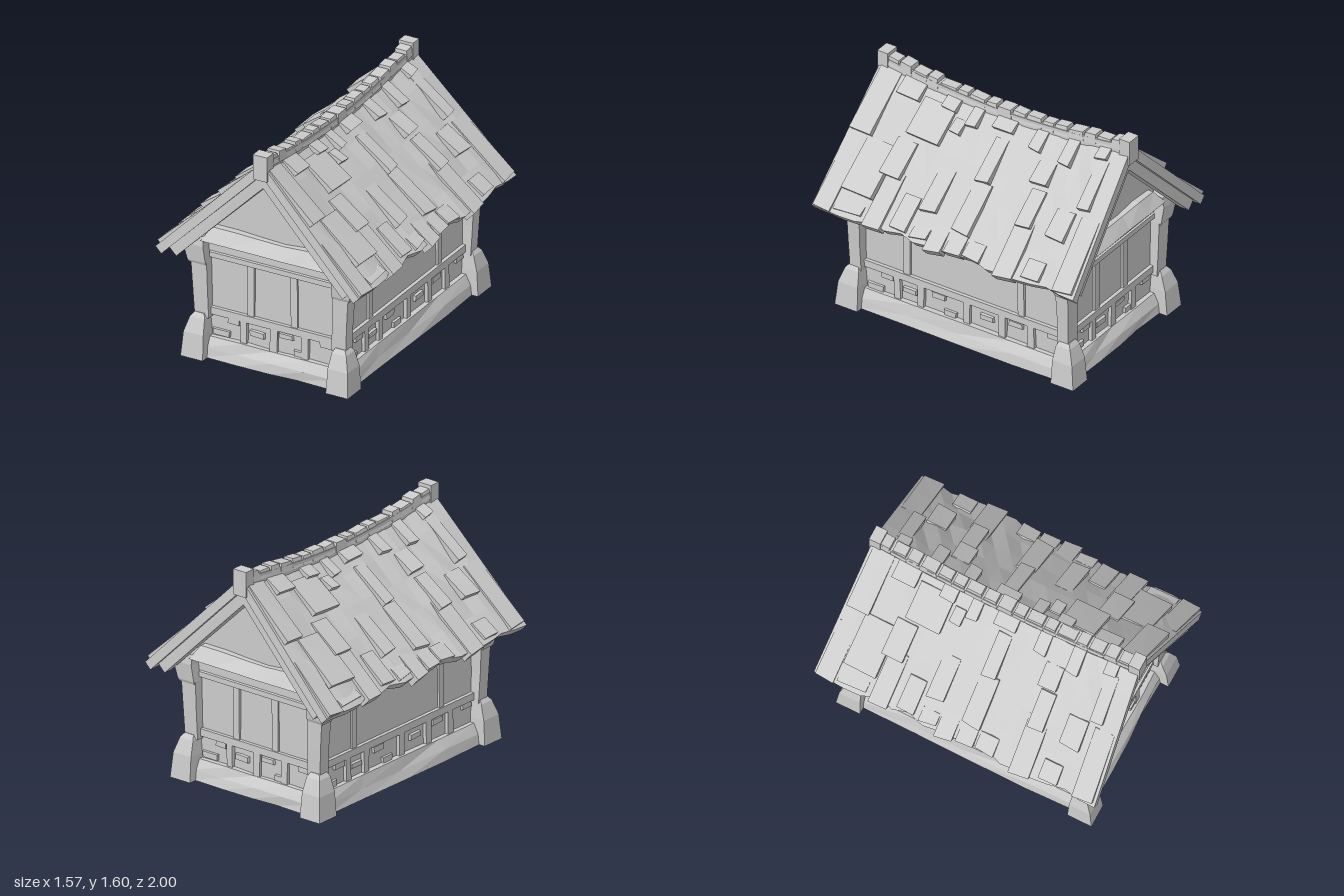
import * as THREE from 'three';

const mat = new THREE.MeshStandardMaterial({ color: 0xcccccc, flatShading: true });

// Repeatable noise in -1..1 that depends only on position
const noise = (a, b, c = 0) => {
  const s = Math.sin(a * 127.1 + b * 311.7 + c * 74.7) * 43758.5453;
  return (s - Math.floor(s)) * 2 - 1;
};

// Moves each vertex of a geometry by a rule
function warp(geo, rule) {
  const p = geo.attributes.position;
  for (let i = 0; i < p.count; i++) p.setXYZ(i, ...rule(p.getX(i), p.getY(i), p.getZ(i)));
  geo.computeVertexNormals();
  return geo;
}

function add(parent, name, geo) {
  const mesh = new THREE.Mesh(geo, mat);
  mesh.name = name;
  parent.add(mesh);
  return mesh;
}

// Box given by its limits, slightly irregular, with an optionally narrowed front face
function block(parent, name, x0, x1, y0, y1, z0, z1, rough = 0, inset = 0) {
  return add(parent, name, warp(new THREE.BoxGeometry(1, 1, 1), (x, y, z) => {
    const cut = z > 0 ? inset : 0;
    return [x0 + (x + 0.5) * (x1 - x0) + rough * noise(x0 + x, y, z) - 2 * x * cut,
      y0 + (y + 0.5) * (y1 - y0) + rough * noise(x0 + y, z, x) - 2 * y * cut,
      z0 + (z + 0.5) * (z1 - z0)];
  }));
}

// Column from rows of [y, xIn, xOut, zIn, zOut]; side = -1 mirrors it
function column(parent, name, rows, side) {
  const n = rows.length - 1;
  return add(parent, name, warp(new THREE.BoxGeometry(1, 1, 1, 1, n, 1), (x, y, z) => {
    const r = rows[Math.round((y + 0.5) * n)];
    const outer = x * side > 0;
    return [side * (outer ? r[2] : r[1]), r[0], z > 0 ? r[4] : r[3]];
  }));
}

// Point on the sagging roof: u from ridge to eave, n height above the surface.
// Near the ridge the offset turns vertical so both sides meet in a mitre.
const EAVE = 0.78;
const ridgeY = z => 1.455 + 0.075 * z * z;
function roofPoint(u, n, z) {
  const y = ridgeY(z), lean = 0.7 * Math.min(1, u * 8);
  return [0.74 * u + n * lean, y + (EAVE - y) * u + n * (1.42 - lean), z * (0.95 + 0.05 * u)];
}

// Slab lying on the roof; its thickness may change from upper to lower end
function roofSlab(parent, name, u0, u1, z0, z1, bottom, topUpper, topLower, skew = 0, segs = 1) {
  return add(parent, name, warp(new THREE.BoxGeometry(1, 1, 1, segs, 1, 1), (x, y, z) => {
    const t = x + 0.5;
    const top = topUpper + (topLower - topUpper) * t;
    return roofPoint(u0 + t * (u1 - u0) + (z > 0 ? skew : -skew) * t,
      y > 0 ? top : bottom, z0 + (z + 0.5) * (z1 - z0));
  }));
}

function roofSide() {
  const roof = new THREE.Group();
  roof.name = 'roofSide';

  // Uneven roof sheet
  add(roof, 'roofSheet', warp(new THREE.BoxGeometry(1, 1, 1, 5, 1, 18), (x, y, z) => {
    const u = x + 0.5, edge = Math.abs(z) > 0.49;
    const r = edge || u < 0.01 ? 0 : noise(Math.round(u * 5), Math.round(z * 18));
    const reach = u > 0.99 && !edge ? 0.02 * r - 0.01 : 0;
    return roofPoint(u + reach, y > 0 ? 0.006 + 0.014 * r : -0.055, z * 2);
  }));

  // Shingles: [z centre, upper y, lower y, width]
  const shingles = [
    [0.7, 1.5, 1.38, 0.17], [0.39, 1.45, 1.38, 0.11], [0.19, 1.44, 1.34, 0.08], [-0.04, 1.44, 1.37, 0.16],
    [-0.32, 1.44, 1.34, 0.09], [-0.57, 1.46, 1.33, 0.09], [-0.82, 1.51, 1.42, 0.09], [0.28, 1.36, 1.29, 0.08],
    [0.47, 1.4, 1.22, 0.25], [0.9, 1.48, 1.17, 0.16], [0.57, 1.2, 1.02, 0.15], [0.73, 1.16, 0.9, 0.23],
    [0.21, 1.14, 0.93, 0.12], [-0.06, 1.34, 1.13, 0.1], [-0.07, 1.13, 0.89, 0.13], [-0.45, 1.32, 1.21, 0.13],
    [-0.47, 1.19, 1.01, 0.11], [-0.72, 1.15, 1.01, 0.14], [-0.84, 1.42, 1.18, 0.09],
  ];
  shingles.forEach(([z, yTop, yLow, w], i) => {
    const u = y => Math.max(0.03, (ridgeY(z) + 0.005 - y) / (ridgeY(z) - EAVE));
    roofSlab(roof, 'shingle', u(yTop), u(yLow), z - w / 2, z + w / 2, -0.02, 0.014, 0.048, 0.008 * noise(i, 3));
  });

  // Long eave boards: [z centre, upper u, lower u, width]
  const boards = [
    [0.92, 0.6, 1.0, 0.13], [0.74, 0.9, 0.97, 0.2], [0.54, 0.62, 1.01, 0.13], [0.36, 0.72, 0.96, 0.12],
    [0.2, 0.88, 0.97, 0.12], [0.07, 0.8, 1.02, 0.12], [-0.07, 0.85, 0.99, 0.12], [-0.21, 0.86, 0.98, 0.13],
    [-0.47, 0.6, 1.02, 0.14], [-0.66, 0.84, 0.97, 0.13], [-0.91, 0.5, 0.98, 0.14],
  ];
  boards.forEach(([z, u0, u1, w], i) =>
    roofSlab(roof, 'eaveBoard', u0, u1, z - w / 2, z + w / 2, -0.055, 0.01, 0.03, 0.01 * noise(i, 7), 2));

  // Rake boards under both roof ends
  for (const s of [-1, 1])
    roofSlab(roof, 'rakeBoard', 0, 0.94, s * 0.94 - 0.035, s * 0.94 + 0.035, -0.125, -0.05, -0.05);
  return roof;
}

// Timber framing, studs and loose stones on one wall that faces +z
function wallFace(name, half, dist, uprights, lowStuds, stones) {
  const wall = new THREE.Group();
  wall.name = name;
  const back = dist - 0.02;
  block(wall, 'sillBeam', -half, half, 0.29, 0.34, back, dist + 0.025);
  block(wall, 'headBeam', -half, half, 0.685, 0.745, back, dist + 0.03, 0, 0.012);
  block(wall, 'topBeam', -half, half, 0.74, 0.82, back, dist + 0.02);
  uprights.forEach(x => block(wall, 'stud', x - 0.024, x + 0.024, 0.33, 0.7, back, dist + 0.015, 0.003));
  lowStuds.forEach(x => block(wall, 'lowStud', x - 0.024, x + 0.024, 0.12, 0.3, back, dist + 0.024, 0.006));
  stones.forEach(([x, y, w]) =>
    block(wall, 'wallStone', x - w / 2, x + w / 2, y - 0.024, y + 0.024, back, dist + 0.018, 0.004, 0.006));
  // Rough plinth stone with a sloping top
  add(wall, 'plinth', warp(new THREE.BoxGeometry(1, 1, 1, 4, 2, 1), (x, y, z) => {
    const r = Math.abs(x) < 0.49 ? noise(Math.round(x * 4), Math.round(y * 2), half) : 0;
    const out = [0.075, 0.065, 0.03][Math.round((y + 0.5) * 2)];
    return [x * 2 * half + 0.03 * r, y < -0.4 ? 0 : (y + 0.5) * 0.135 + 0.008 * r,
      z > 0 ? dist + out + 0.01 * r : dist - 0.1];
  }));
  return wall;
}

// Everything that occurs twice, half a turn apart
function halfHouse() {
  const half = new THREE.Group();
  half.name = 'houseHalf';
  half.add(roofSide());
  const end = wallFace('endWall', 0.47, 0.78, [-0.165, 0.15], [-0.215, 0.005, 0.235],
    [[-0.29, 0.27, 0.09], [-0.12, 0.22, 0.11], [0.09, 0.26, 0.11], [0.39, 0.27, 0.11], [-0.38, 0.17, 0.13], [0.19, 0.16, 0.09]]);
  const flank = wallFace('sideWall', 0.77, 0.49, [-0.43, 0.44], [-0.5, -0.32, 0.03, 0.3, 0.52],
    [[-0.58, 0.27, 0.1], [-0.41, 0.22, 0.11], [-0.19, 0.26, 0.11], [0.18, 0.23, 0.11], [0.4, 0.26, 0.11],
      [0.69, 0.27, 0.1], [-0.67, 0.16, 0.13], [-0.1, 0.16, 0.1]]);
  flank.rotation.y = Math.PI / 2;
  half.add(end, flank);

  // Rough ledge across the foot of the gable
  add(half, 'gableLedge', warp(new THREE.BoxGeometry(1, 1, 1, 5, 1, 1), (x, y, z) => {
    const r = noise(Math.round(x * 5), 2 + Math.round(y));
    return [x * (y > 0 ? 0.86 : 0.97), y > 0 ? 0.915 + 0.02 * r : 0.825 + 0.012 * r,
      z < 0 ? 0.75 : (y > 0 ? 0.82 : 0.87) + 0.015 * r];
  }));

  // Corner stones, posts and flared brackets
  for (const s of [-1, 1]) {
    column(half, 'cornerStone', [[0, 0.45, 0.612, 0.74, 0.912], [0.17, 0.455, 0.6, 0.745, 0.895],
      [0.27, 0.465, 0.572, 0.755, 0.862], [0.3, 0.48, 0.55, 0.77, 0.84]], s);
    column(half, 'cornerPost', [[0.27, 0.45, 0.552, 0.75, 0.835], [0.48, 0.455, 0.563, 0.755, 0.842],
      [0.67, 0.46, 0.575, 0.75, 0.845]], s);
    column(half, 'cornerBracket', [[0.65, 0.465, 0.585, 0.755, 0.85], [0.67, 0.46, 0.592, 0.75, 0.86],
      [0.79, 0.47, 0.618, 0.73, 0.875], [0.86, 0.47, 0.6, 0.73, 0.865]], s);
  }
  return half;
}

export function createModel() {
  const house = new THREE.Group();
  house.name = 'house';

  // Walls and gables as one solid body reaching up under the roof
  const shape = new THREE.Shape();
  [[-0.49, 0], [0.49, 0], [0.49, 0.965], [0, 1.43], [-0.49, 0.965]].forEach(([x, y], i) =>
    i ? shape.lineTo(x, y) : shape.moveTo(x, y));
  const body = new THREE.ExtrudeGeometry(shape, { depth: 1.56, bevelEnabled: false });
  body.translate(0, 0, -0.78);
  add(house, 'wallBody', body);

  const front = halfHouse(), back = halfHouse();
  back.rotation.y = Math.PI;
  house.add(front, back);

  // Sagging ridge beam
  const capY = z => ridgeY(z) + 0.015 * Math.abs(z);
  add(house, 'ridgeBeam', warp(new THREE.BoxGeometry(1, 1, 1, 1, 1, 12), (x, y, z) => {
    const zz = z * 1.88;
    return [x * 0.09, capY(zz) + (y > 0 ? 0.022 : -0.08), zz];
  }));

  // Row of ridge tiles with uneven lengths and heights
  const count = 17, step = 1.84 / count;
  const joint = i => -0.92 + i * step + (i % count ? 0.02 * noise(i, 9) : 0);
  for (let i = 0; i < count; i++) {
    const z0 = joint(i), z1 = joint(i + 1), h = 0.042 + 0.008 * noise(i, 1), w = 0.04 + 0.007 * noise(i, 5);
    add(house, 'ridgeTile', warp(new THREE.BoxGeometry(1, 1, 1), (x, y, t) => {
      const zz = (z0 + z1) / 2 + t * (z1 - z0) * (y > 0 ? 0.82 : 1);
      return [x * 2 * (y > 0 ? w : 0.05), capY(zz) + (y > 0 ? h + 0.008 * noise(i, t) : -0.02), zz];
    }));
  }

  // End blocks of the ridge
  for (const s of [-1, 1])
    block(house, 'ridgeEnd', -0.052, 0.052, 1.42, 1.595, s * 0.925 - 0.04, s * 0.925 + 0.04);
  return house;
}
